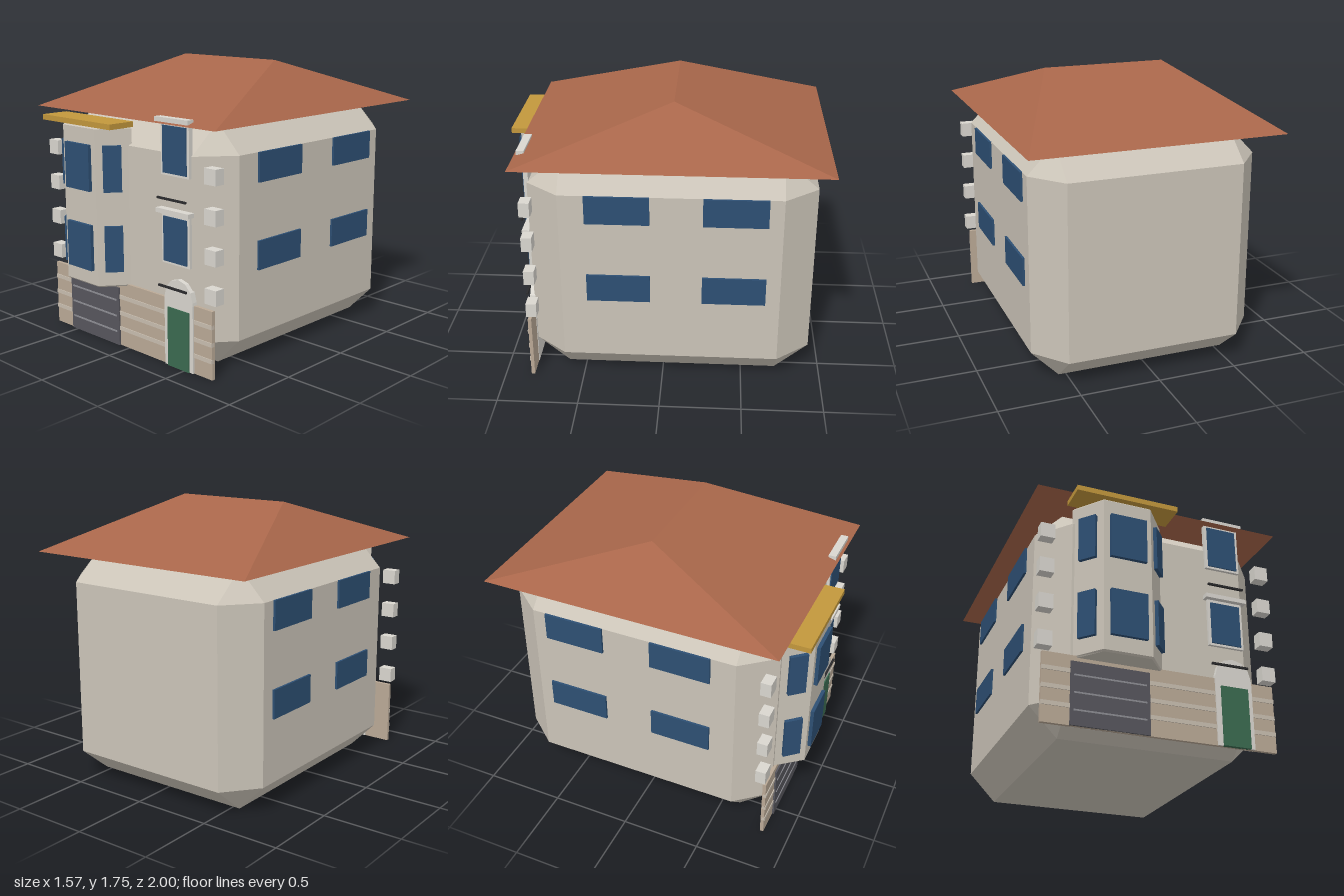
import * as THREE from 'three';
import { ConvexGeometry } from 'three/addons/geometries/ConvexGeometry.js';

const mat = (color) => new THREE.MeshStandardMaterial({ color, flatShading: true });
const wall = mat(0xcbc4b8), roofTile = mat(0xa8664a), glass = mat(0x2d4f73), gold = mat(0xc2973c);
const trim = mat(0xd9d6cf), stone = mat(0xbaa996), band = mat(0xc8beb0);
const steel = mat(0x57565d), slat = mat(0x8d8d93), green = mat(0x3b6a50), iron = mat(0x2a2a2c);

export function createModel() {
  const house = new THREE.Group();
  house.name = 'townHouse';

  const add = (name, geometry, material) => {
    const mesh = new THREE.Mesh(geometry, material);
    mesh.name = name;
    house.add(mesh);
    return mesh;
  };
  // Box given by its lower and upper limit on each axis
  const box = (name, material, x0, x1, y0, y1, z0, z1) => {
    const mesh = add(name, new THREE.BoxGeometry(x1 - x0, y1 - y0, z1 - z0), material);
    mesh.position.set((x0 + x1) / 2, (y0 + y1) / 2, (z0 + z1) / 2);
    return mesh;
  };

  // Main body: box with every edge and corner chamfered
  const half = [0.715, 0.725, 0.8725], cut = [0.17, 0.175, 0.207];
  const corners = [];
  for (const sx of [-1, 1]) for (const sy of [-1, 1]) for (const sz of [-1, 1]) {
    for (let full = 0; full < 3; full++) {
      const [x, y, z] = half.map((h, i) => (i === full ? h : h - cut[i]));
      corners.push(new THREE.Vector3(sx * x, sy * y + 0.725, sz * z - 0.0525));
    }
  }
  add('body', new ConvexGeometry(corners), wall);

  // Hipped roof
  const roofPoints = [];
  for (const s of [-1, 1]) {
    roofPoints.push(
      new THREE.Vector3(s * 0.785, 1.45, 0.885),
      new THREE.Vector3(s * 0.785, 1.45, -1),
      new THREE.Vector3(s * 0.393, 1.75, -0.058));
  }
  add('roof', new ConvexGeometry(roofPoints), roofTile);

  // Ground floor stone facing with lighter courses
  box('stoneFacing', stone, -0.715, 0.715, 0, 0.413, 0.815, 0.837);
  for (const y of [0.1, 0.2, 0.305]) {
    box('stoneCourse', band, -0.715, 0.715, y, y + 0.025, 0.82, 0.842);
  }

  // Garage door with slats
  box('garageSurround', trim, -0.54, -0.09, 0, 0.365, 0.812, 0.84);
  box('garageDoor', steel, -0.55, -0.08, 0, 0.375, 0.825, 0.848);
  for (const y of [0.088, 0.19, 0.293]) {
    box('garageSlat', slat, -0.53, -0.1, y - 0.005, y + 0.005, 0.84, 0.852);
  }

  // Entrance: arched surround and door
  const arch = new THREE.Shape();
  arch.moveTo(0.335, 0);
  arch.lineTo(0.57, 0);
  arch.lineTo(0.57, 0.41);
  for (let i = 0; i <= 6; i++) {
    const a = (i * Math.PI) / 6;
    arch.lineTo(0.4525 + 0.115 * Math.cos(a), 0.43 + 0.115 * Math.sin(a));
  }
  arch.lineTo(0.335, 0.41);
  const surround = add('doorSurround',
    new THREE.ExtrudeGeometry(arch, { depth: 0.035, bevelEnabled: false }), trim);
  surround.position.z = 0.812;
  box('frontDoor', green, 0.367, 0.542, 0, 0.365, 0.83, 0.855);

  // Bay: canted plan extruded upward (plan y becomes -z)
  const b = 0.01;
  const plan = new THREE.Shape([
    [-0.53, -0.81], [-0.403, -0.968], [-0.117, -0.968], [0.01, -0.81],
  ].map(([x, y]) => new THREE.Vector2(x, y)));
  const bay = add('bay', new THREE.ExtrudeGeometry(plan, {
    depth: 0.985 - 2 * b, bevelThickness: b, bevelSize: b, bevelSegments: 1,
  }), wall);
  bay.rotation.x = -Math.PI / 2;
  bay.position.y = 0.402 + b;
  // The rotation maps plan y to -z, so the plan lies at z = 0.81 to 0.98
  box('bayCornice', gold, -0.58, 0.057, 1.392, 1.425, 0.82, 1);

  // Bay windows: front pane and two canted panes per floor
  for (const [y0, y1] of [[0.503, 0.788], [0.998, 1.28]]) {
    box('bayFrontWindow', glass, -0.37, -0.147, y0, y1, 0.97, 1);
    for (const s of [-1, 1]) {
      const pane = add('baySideWindow', new THREE.BoxGeometry(0.112, y1 - y0, 0.022), glass);
      pane.position.set(-0.26 + s * 0.222, (y0 + y1) / 2, 0.908);
      pane.rotation.y = s * 0.86;
    }
  }

  // Framed windows above the entrance, each with a cap and a rail below
  for (const [y0, y1, rail] of [[0.625, 0.928, 0.492], [1.148, 1.457, 1.018]]) {
    box('windowFrame', trim, 0.312, 0.54, y0, y1, 0.81, 0.838);
    box('windowGlass', glass, 0.33, 0.522, y0 + 0.014, y1 - 0.021, 0.82, 0.845);
    box('windowCap', trim, 0.293, 0.56, y1, y1 + 0.027, 0.82, 0.868);
    box('windowRail', iron, 0.308, 0.542, rail - 0.006, rail + 0.006, 0.862, 0.874);
  }

  // Both sides: windows and corner blocks
  for (const s of [-1, 1]) {
    for (const y of [0.6625, 1.1875]) for (const z of [-0.437, 0.263]) {
      const pane = add('sideWindow', new THREE.BoxGeometry(0.03, 0.177, 0.386), glass);
      pane.position.set(s * 0.714, y, z);
    }
    for (let i = 0; i < 4; i++) {
      const block = add('cornerBlock', new THREE.BoxGeometry(0.088, 0.092, 0.065), trim);
      block.position.set(s * 0.7, 0.495 + i * 0.23, 0.805);
    }
  }
  return house;
}
